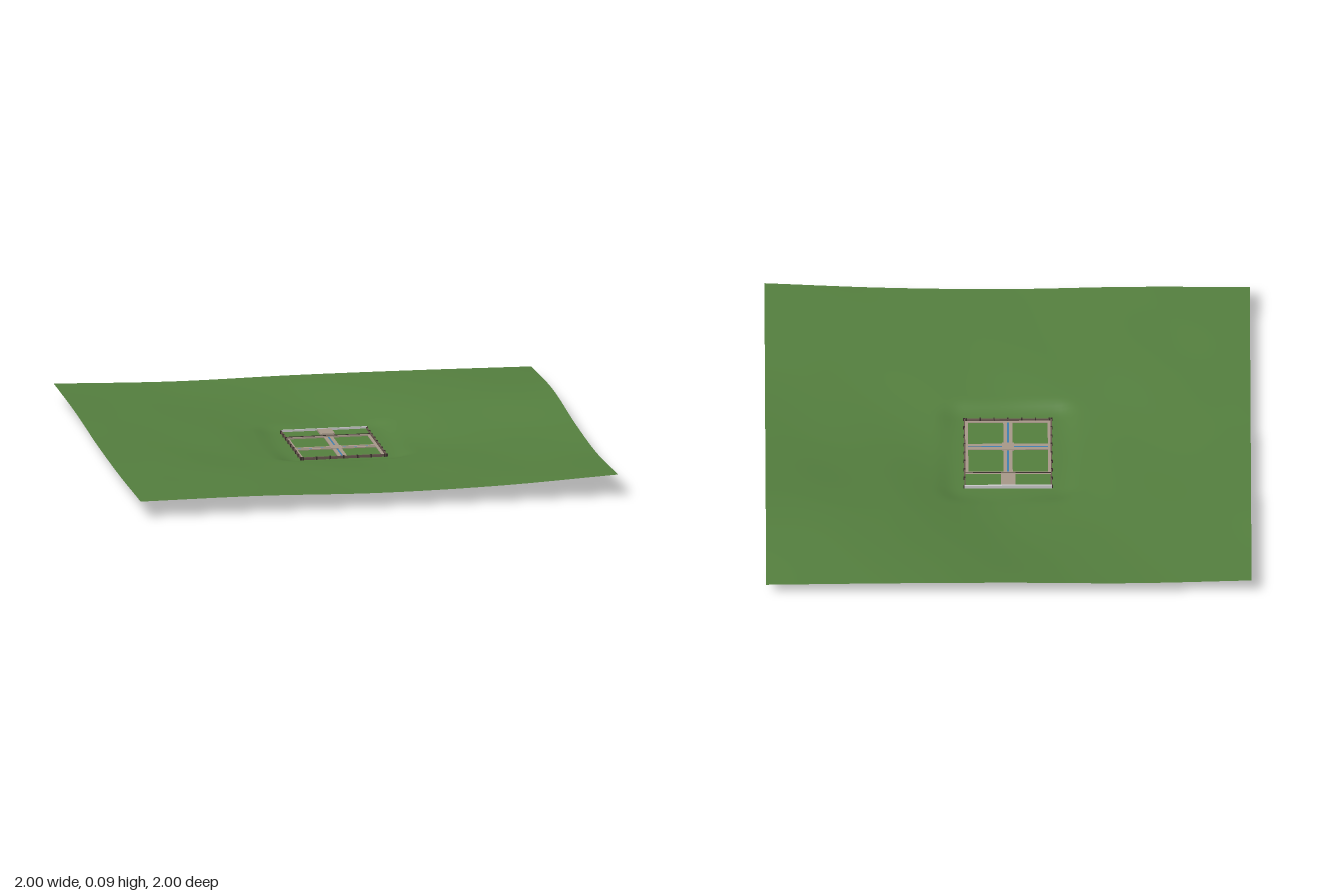
import * as THREE from 'three';

const paint = (color) => new THREE.MeshStandardMaterial({ color });

// Coarse ground heights, rows z = -1..1, columns x = -1..1
const HEIGHTS = [
  [0.075, 0.062, 0.066, 0.064, 0.058],
  [0.076, 0.045, 0.014, 0.056, 0.083],
  [0.062, 0.030, 0.002, 0.028, 0.065],
  [0.060, 0.050, 0.042, 0.050, 0.063],
  [0.070, 0.072, 0.062, 0.070, 0.095],
];
const PAD = 0.005;

// Smooth curve through five evenly spaced values
function spline(v, t) {
  const s = (t + 1) * 2;
  const i = Math.min(3, Math.max(0, Math.floor(s)));
  const f = s - i;
  const p1 = v[i], p2 = v[i + 1];
  const p0 = i > 0 ? v[i - 1] : 2 * p1 - p2;
  const p3 = i < 3 ? v[i + 2] : 2 * p2 - p1;
  return p1 + 0.5 * f * (p2 - p0 + f * (2 * p0 - 5 * p1 + 4 * p2 - p3 + f * (3 * (p1 - p2) + p3 - p0)));
}

// Rolling ground that levels out under the garden
function groundHeight(x, z) {
  const fade = (1 - x * x) * (1 - z * z);
  const ripple = 0.0025 * Math.sin(9 * (x + z)) + 0.0015 * Math.sin(13 * x - 7 * z);
  const h = spline(HEIGHTS.map((row) => spline(row, x)), z) + ripple * fade;
  const dx = Math.max(0, Math.abs(x) - 0.19);
  const dz = Math.max(0, z - 0.19, -0.29 - z);
  const blend = THREE.MathUtils.smoothstep(Math.hypot(dx, dz), 0.01, 0.11);
  return Math.max(0.003, THREE.MathUtils.lerp(PAD, h, blend));
}

export function createModel() {
  const model = new THREE.Group();
  const grass = paint(0x55803f);
  grass.side = THREE.DoubleSide;
  const stone = paint(0xa8998a);
  const brick = paint(0x6a5850);
  const dark = paint(0x3a302c);
  const white = paint(0xf2f2f2);
  const water = paint(0x3f7fb0);

  const garden = new THREE.Group();
  garden.name = 'garden';
  // Box given by its x, y and z ranges
  function box(name, mat, x0, x1, y0, y1, z0, z1) {
    const mesh = new THREE.Mesh(new THREE.BoxGeometry(x1 - x0, y1 - y0, z1 - z0), mat);
    mesh.position.set((x0 + x1) / 2, (y0 + y1) / 2, (z0 + z1) / 2);
    mesh.name = name;
    garden.add(mesh);
  }

  // Ground sheet
  const sheet = new THREE.PlaneGeometry(2, 2, 100, 100).rotateX(-Math.PI / 2);
  const pos = sheet.attributes.position;
  for (let i = 0; i < pos.count; i++) pos.setY(i, groundHeight(pos.getX(i), pos.getZ(i)));
  sheet.computeVertexNormals();
  const ground = new THREE.Mesh(sheet, grass);
  ground.name = 'ground';
  model.add(ground);

  // Raised terrace at the back, with two lawns and a central platform
  box('terrace', brick, -0.178, 0.178, 0, 0.010, -0.28, -0.18);
  box('terraceEdge', stone, -0.178, 0.178, 0.004, 0.012, -0.19, -0.174);
  box('terraceParapet', dark, -0.178, 0.178, 0.012, 0.014, -0.184, -0.181);
  for (const s of [-1, 1]) {
    box('terraceLawn', grass, Math.min(s * 0.03, s * 0.175), Math.max(s * 0.03, s * 0.175),
      0.010, 0.0115, -0.274, -0.19);
  }
  box('platform', stone, -0.03, 0.03, 0.010, 0.019, -0.272, -0.19);
  box('backWall', white, -0.18, 0.18, 0, 0.020, -0.281, -0.274);

  // Side and front walls with border walks inside them
  for (const s of [-1, 1]) {
    const span = (a, b) => [Math.min(s * a, s * b), Math.max(s * a, s * b)];
    box('sideWall', brick, ...span(0.176, 0.181), 0, 0.016, -0.278, 0.181);
    box('sideWalk', stone, ...span(0.164, 0.176), 0.002, 0.008, -0.174, 0.176);
    for (let i = 0; i < 9; i++) {
      const z = -0.275 + i * 0.057;
      box('wallPost', dark, ...span(0.176, 0.184), 0, 0.018, z - 0.003, z + 0.003);
    }
  }
  box('frontWall', brick, -0.181, 0.181, 0, 0.016, 0.176, 0.181);
  box('frontWalk', stone, -0.164, 0.164, 0.002, 0.008, 0.164, 0.176);
  for (let i = 0; i < 7; i++) {
    const x = -0.171 + i * 0.057;
    box('wallPost', dark, x - 0.003, x + 0.003, 0, 0.018, 0.176, 0.184);
  }

  // Crossing walks, each a pair of strips beside a water channel
  for (const s of [-1, 1]) {
    const [a, b] = s > 0 ? [0.004, 0.019] : [-0.019, -0.004];
    box('longWalk', stone, a, b, 0.002, 0.009, -0.174, 0.164);
    box('crossWalk', stone, -0.164, 0.164, 0.002, 0.009, a, b);
  }
  box('longChannel', water, -0.004, 0.004, 0, 0.0075, -0.174, 0.172);
  box('crossChannel', water, -0.172, 0.172, 0, 0.0075, -0.004, 0.004);
  box('centreSquare', stone, -0.024, 0.024, 0.002, 0.0105, -0.024, 0.024);
  box('centreBasin', water, -0.018, 0.018, 0, 0.002, -0.018, 0.018);
  model.add(garden);
  return model;
}
